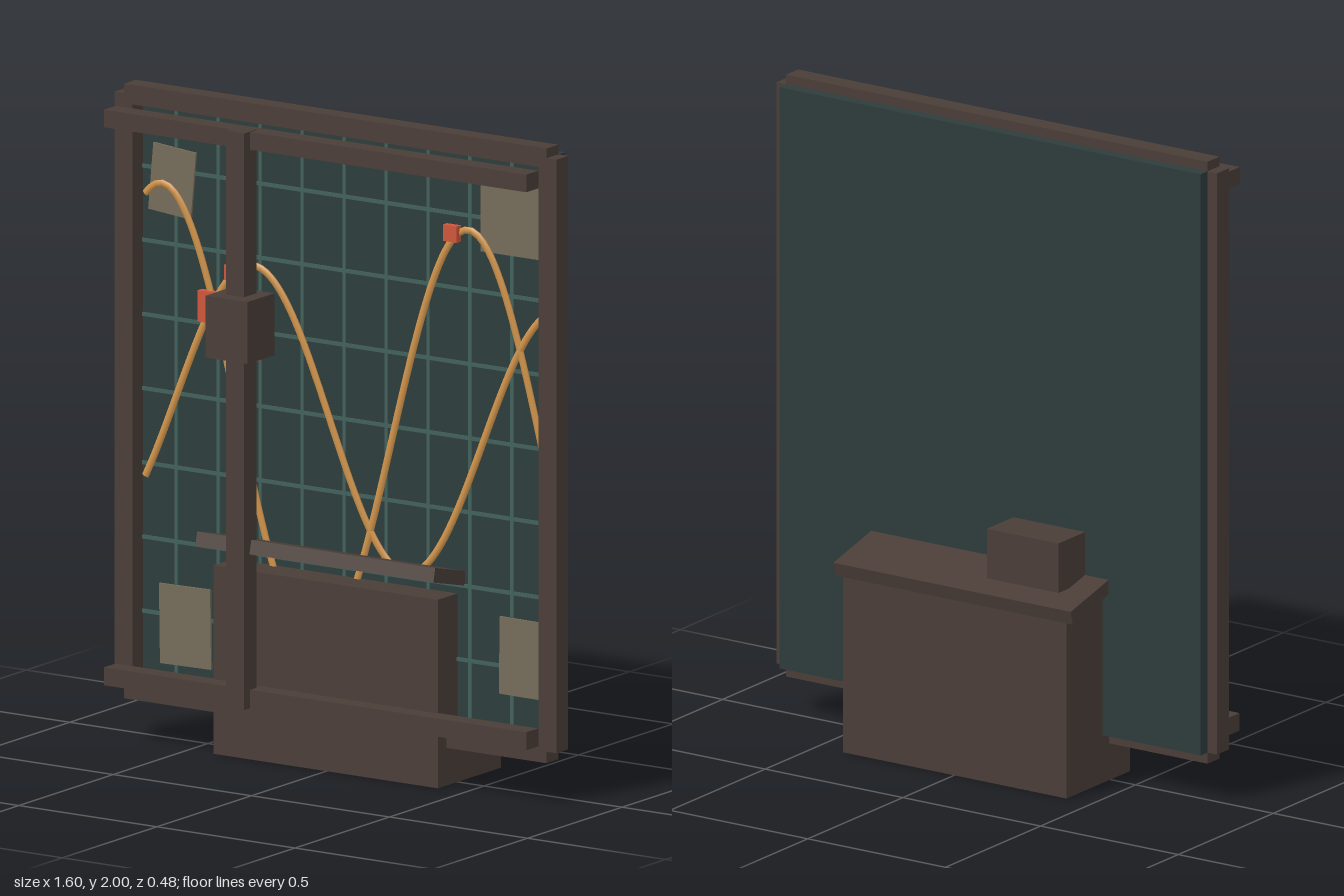
import * as THREE from 'three';

const mat = (name, color) => Object.assign(new THREE.MeshStandardMaterial({ color }), { name });

export function createModel() {
  const model = new THREE.Group();
  model.name = 'plottingBoard';
  const wood = mat('dark wood', 0x4a3d37);
  const slate = mat('slate green', 0x2d3c3c);
  const line = mat('grid green', 0x41605b);
  const trace = mat('amber trace', 0xd0934a);
  const red = mat('signal red', 0xd0563b);
  const paper = mat('aged paper', 0x756d5a);

  // Box given by its limits on each axis
  function box(name, material, x0, x1, y0, y1, z0, z1) {
    const mesh = new THREE.Mesh(new THREE.BoxGeometry(x1 - x0, y1 - y0, z1 - z0), material);
    mesh.position.set((x0 + x1) / 2, (y0 + y1) / 2, (z0 + z1) / 2);
    mesh.name = name;
    model.add(mesh);
    return mesh;
  }

  // Board and frame
  box('board', slate, -0.765, 0.765, 0.15, 1.97, -0.042, 0);
  box('frameTop', wood, -0.765, 0.765, 1.94, 2, -0.006, 0.057);
  box('frameBottom', wood, -0.765, 0.765, 0.115, 0.175, -0.006, 0.057);
  box('rightFramePost', wood, -0.8, -0.735, 0.15, 1.97, -0.007, 0.056);
  box('leftFramePost', wood, 0.735, 0.8, 0.15, 1.97, -0.007, 0.056);

  // Grid lines
  for (let i = -4; i <= 4; i++) {
    const x = i * 0.152 - 0.005;
    box('gridVertical', line, x - 0.006, x + 0.006, 0.16, 1.96, 0, 0.003);
  }
  for (let i = 1; i <= 7; i++) {
    const y = 0.15 + i * 0.2275;
    box('gridHorizontal', line, -0.735, 0.735, y - 0.006, y + 0.006, 0, 0.004);
  }

  // Pinned papers: centre x, centre y, width, height, tilt
  for (const [x, y, w, h, tilt] of [
    [-0.625, 1.71, 0.155, 0.207, -0.09],
    [0.598, 1.765, 0.212, 0.25, 0],
    [-0.578, 0.35, 0.185, 0.245, 0.015],
    [0.65, 0.41, 0.18, 0.237, -0.01],
  ]) {
    const sheet = box('paper', paper, x - w / 2, x + w / 2, y - h / 2, y + h / 2, 0, 0.007);
    sheet.rotation.z = tilt;
  }

  // Plotted waves: middle height, amplitude, x of a crest
  for (const [mid, amp, crest] of [[1.02, 0.68, 0.45], [1.054, 0.436, -0.33]]) {
    const points = [];
    for (let i = 0; i <= 60; i++) {
      const x = -0.72 + i * 0.024;
      points.push(new THREE.Vector3(x, mid + amp * Math.cos((2 * Math.PI * (x - crest)) / 1.11), 0));
    }
    const wave = new THREE.Mesh(new THREE.TubeGeometry(new THREE.CatmullRomCurve3(points), 150, 0.012, 6), trace);
    wave.scale.z = 0.5;
    wave.position.z = 0.009;
    wave.name = 'wave';
    model.add(wave);
  }

  // Markers on the waves
  for (const [x, y, s] of [[-0.47, 1.345, 0.048], [-0.4, 1.46, 0.023], [0.395, 1.685, 0.025]]) {
    box('marker', red, x - s, x + s, y - s, y + s, 0.005, 0.028);
  }

  // Rails, sliding arm, carriage and pen
  box('topRail', wood, -0.765, 0.765, 1.886, 1.94, 0.1, 0.163);
  box('bottomRail', wood, -0.765, 0.765, 0.175, 0.23, 0.1, 0.163);
  box('slidingArm', wood, -0.3, -0.235, 0.174, 1.942, 0.13, 0.195);
  box('carriage', wood, -0.342, -0.19, 1.25, 1.44, 0.1, 0.242);
  box('pen', red, -0.279, -0.254, 1.222, 1.303, 0.075, 0.115);

  // Desk with sloping top and a small case behind the board
  box('desk', wood, -0.408, 0.404, 0, 0.578, -0.23, 0.104);
  const top = box('deskTop', wood, -0.431, 0.431, 0.597, 0.641, -0.242, 0.168);
  top.rotation.x = -0.24;
  box('deskCase', wood, -0.345, -0.085, 0.62, 0.775, -0.182, -0.02);

  return model;
}
